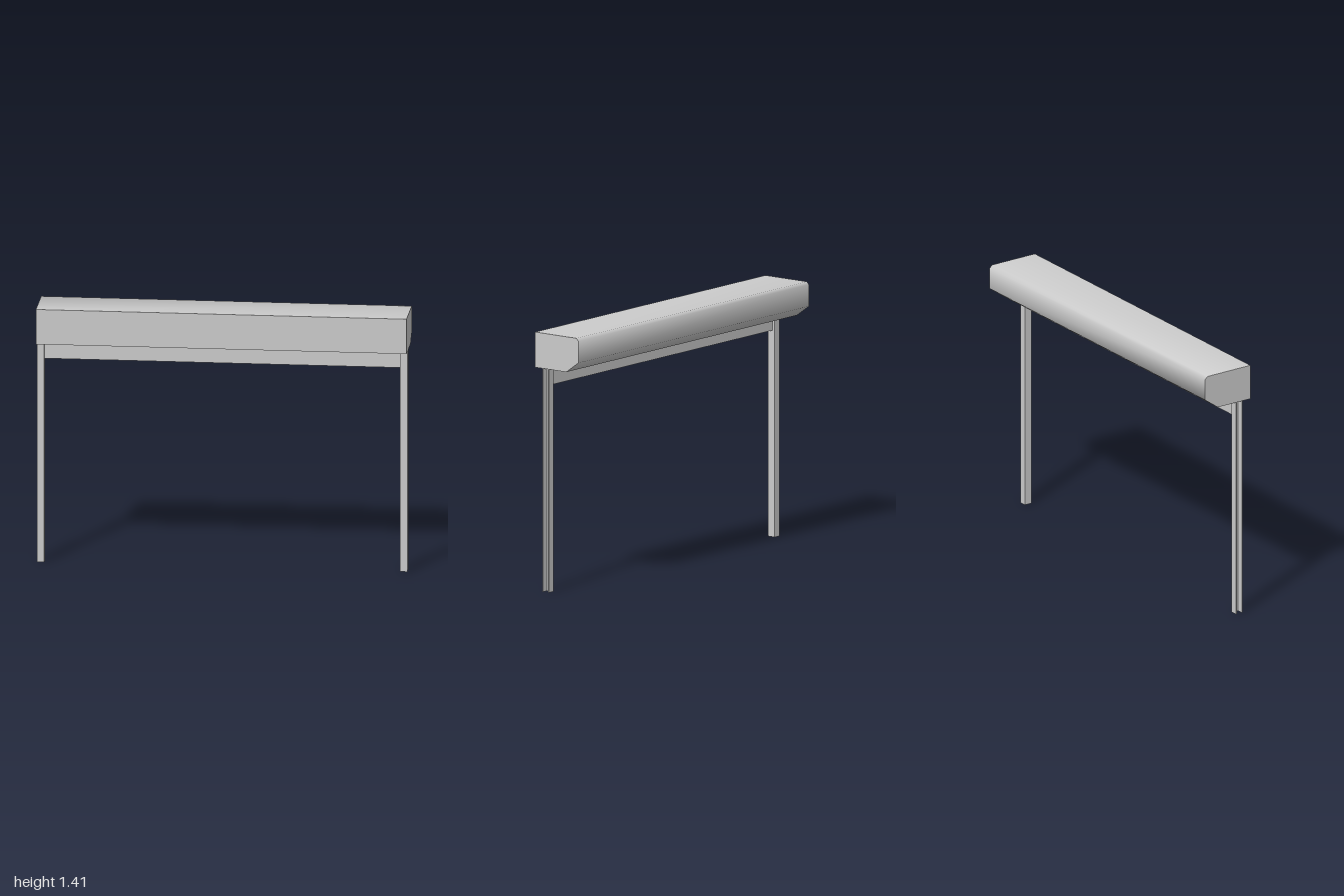
import * as THREE from 'three';
import { toCreasedNormals } from 'three/addons/utils/BufferGeometryUtils.js';

const material = new THREE.MeshStandardMaterial({ color: 0xcccccc });

// Box given by its lower and upper corners
function box(name, [x0, y0, z0], [x1, y1, z1]) {
  const geometry = new THREE.BoxGeometry(x1 - x0, y1 - y0, z1 - z0);
  geometry.translate((x0 + x1) / 2, (y0 + y1) / 2, (z0 + z1) / 2);
  const mesh = new THREE.Mesh(geometry, material);
  mesh.name = name;
  return mesh;
}

// Shutter housing: side profile (z, y) swept along x, shaded softly round the back
function housing() {
  const profile = [
    [0.15, 1.222], [-0.064, 1.222], [-0.147, 1.282],
    [-0.147, 1.4], [-0.132, 1.415], [0.15, 1.415],
  ];
  const shape = new THREE.Shape(profile.map(([z, y]) => new THREE.Vector2(-z, y)));
  const geometry = new THREE.ExtrudeGeometry(shape, { depth: 2, bevelEnabled: false });
  geometry.rotateY(Math.PI / 2);
  geometry.translate(-1, 0, 0);
  const mesh = new THREE.Mesh(toCreasedNormals(geometry, 1.1), material);
  mesh.name = 'housing';
  return mesh;
}

// Guide rail: U channel with its web on the inside, open outwards
function guideRail(name, side) {
  const rail = new THREE.Group();
  rail.name = name;
  const inner = 0.96, outer = 1, back = 0.056, front = 0.1, wall = 0.005, top = 1.222;
  const part = (label, xa, xb, z0, z1) => rail.add(box(label,
    [Math.min(side * xa, side * xb), 0, z0],
    [Math.max(side * xa, side * xb), top, z1]));
  part('railWeb', inner, inner + wall, back + wall, front - wall);
  part('railFrontFlange', inner, outer, front - wall, front);
  part('railBackFlange', inner, outer, back, back + wall);
  return rail;
}

export function createModel() {
  const model = new THREE.Group();
  model.name = 'rollerShutter';
  model.add(
    housing(),
    guideRail('leftRail', 1),
    guideRail('rightRail', -1),
    // Lower edge of the rolled-up curtain
    box('curtainBar', [-0.96, 1.13, 0.07], [0.96, 1.222, 0.092]),
  );
  return model;
}
